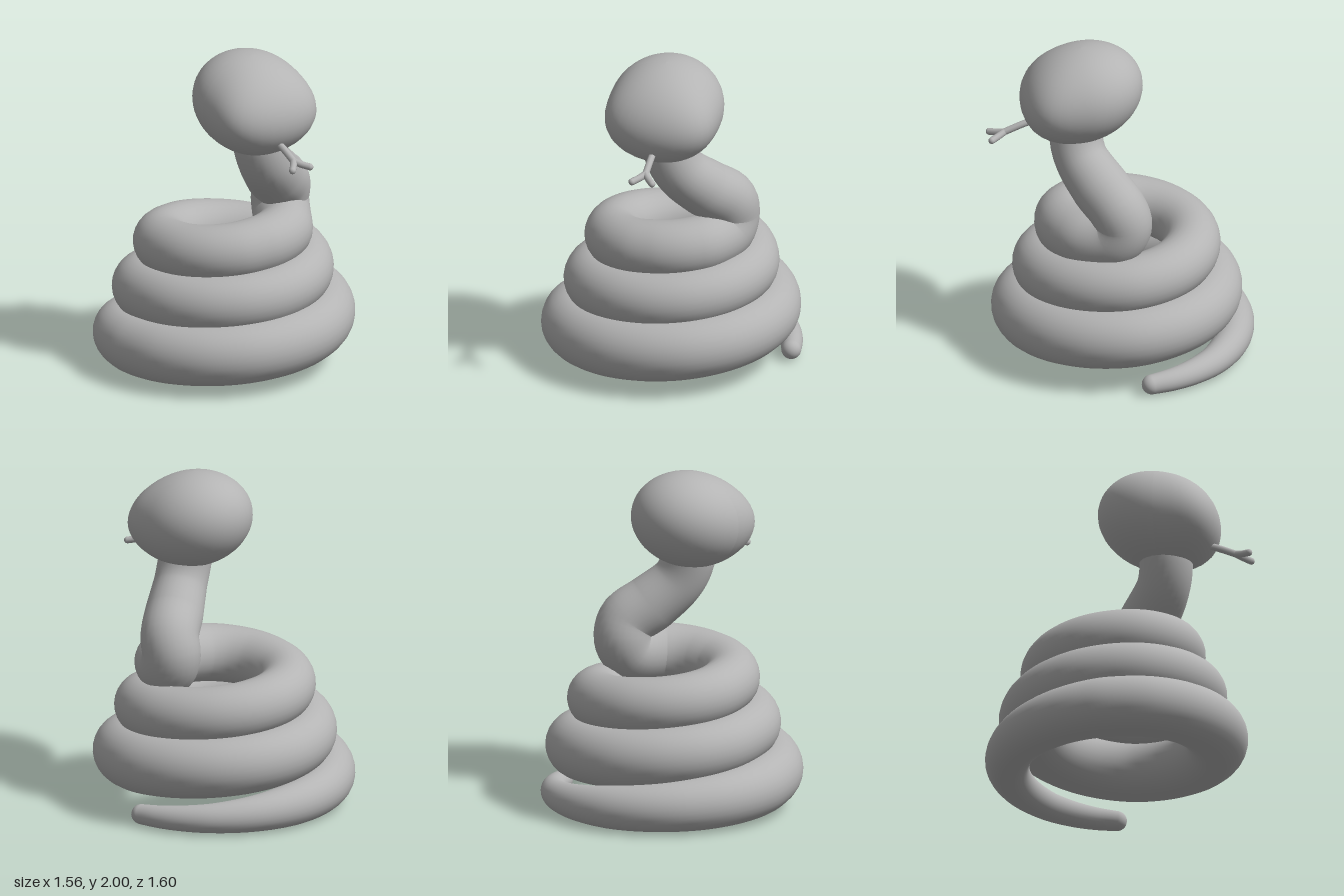
import * as THREE from 'three';

const grey = new THREE.MeshStandardMaterial({ color: 0xb4b4b4 });
grey.name = 'grey';

// Tube whose radius follows a list of radii, one for each point of the path
function taperedTube(points, radii, segments, sides) {
  const path = new THREE.CatmullRomCurve3(points);
  path.arcLengthDivisions = 1200;
  const geometry = new THREE.TubeGeometry(path, segments, 1, sides, false);
  const pos = geometry.attributes.position;
  const v = new THREE.Vector3();
  for (let i = 0; i <= segments; i++) {
    const centre = path.getPointAt(i / segments);
    const f = path.getUtoTmapping(i / segments) * (radii.length - 1);
    const k = Math.min(Math.floor(f), radii.length - 2);
    const r = THREE.MathUtils.lerp(radii[k], radii[k + 1], f - k);
    for (let j = 0; j <= sides; j++) {
      const n = i * (sides + 1) + j;
      v.fromBufferAttribute(pos, n).sub(centre).multiplyScalar(r).add(centre);
      pos.setXYZ(n, v.x, v.y, v.z);
    }
  }
  return geometry;
}

function add(parent, name, geometry, position) {
  const mesh = new THREE.Mesh(geometry, grey);
  mesh.name = name;
  if (position) mesh.position.copy(position);
  parent.add(mesh);
  return mesh;
}

export function createModel() {
  const model = new THREE.Group();
  model.name = 'coiledSnake';

  // Coils: angle in half turns, coil radius, height, body radius
  const coils = [
    [0.045, 0.712, 0.07, 0.06], [0.25, 0.70, 0.098, 0.088], [0.5, 0.67, 0.135, 0.13],
    [0.75, 0.635, 0.17, 0.16], [1, 0.61, 0.205, 0.18], [1.5, 0.58, 0.27, 0.19],
    [2, 0.588, 0.34, 0.185], [2.5, 0.542, 0.41, 0.18], [3, 0.478, 0.49, 0.175],
    [3.5, 0.47, 0.55, 0.175], [4, 0.468, 0.625, 0.175], [4.5, 0.422, 0.705, 0.17],
    [5, 0.36, 0.77, 0.17], [5.5, 0.34, 0.825, 0.175], [5.75, 0.35, 0.85, 0.175],
  ];
  const points = [], radii = [];
  const addCoilPoint = (t, R, y, r) => {
    points.push(new THREE.Vector3(R * Math.cos(t * Math.PI), y, -R * Math.sin(t * Math.PI)));
    radii.push(r);
  };
  for (let i = 0; i < coils.length - 1; i++) {
    for (let s = 0; s < 4; s++) {
      addCoilPoint(...coils[i].map((a, c) => THREE.MathUtils.lerp(a, coils[i + 1][c], s / 4)));
    }
  }
  addCoilPoint(...coils[coils.length - 1]);

  // Neck: x, y, z, radius
  const neck = [
    [0.345, 0.88, 0.08, 0.175], [0.365, 0.97, 0.03, 0.175], [0.355, 1.07, 0.06, 0.175],
    [0.24, 1.175, 0.155, 0.175], [0.115, 1.31, 0.25, 0.16],
    [0.06, 1.44, 0.275, 0.16], [0.04, 1.6, 0.26, 0.18],
  ];
  for (const [x, y, z, r] of neck) {
    points.push(new THREE.Vector3(x, y, z));
    radii.push(r);
  }
  add(model, 'body', taperedTube(points, radii, 420, 28));
  add(model, 'tailTip', new THREE.SphereGeometry(radii[0], 20, 14), points[0]);

  // Head: an egg, broader in the muzzle and sloping down to the front
  const head = new THREE.SphereGeometry(1, 40, 28);
  const p = head.attributes.position;
  for (let i = 0; i < p.count; i++) {
    const x = p.getX(i), y = p.getY(i), s = p.getZ(i);
    const broad = s > 0 ? 1 + 0.42 * s * s : 1;
    p.setXYZ(i, 0.345 * x * broad, 0.295 * y - 0.045 * s, 0.367 * s);
  }
  head.computeVertexNormals();
  add(model, 'head', head, new THREE.Vector3(0.025, 1.703, 0.238));

  // Forked tongue
  const tongue = new THREE.Group();
  tongue.name = 'tongue';
  tongue.position.x = 0.025;
  model.add(tongue);
  const strand = (name, list) => {
    const path = list.map((a) => new THREE.Vector3(...a));
    add(tongue, name, taperedTube(path, path.map(() => 0.021), 12, 10));
    add(tongue, name + 'End', new THREE.SphereGeometry(0.021, 10, 8), path[path.length - 1]);
  };
  strand('tongueStem', [[0, 1.54, 0.5], [0, 1.51, 0.59], [0, 1.465, 0.7]]);
  for (const side of [-1, 1]) {
    strand(side > 0 ? 'leftFork' : 'rightFork',
      [[0, 1.465, 0.7], [side * 0.028, 1.452, 0.74], [side * 0.062, 1.442, 0.783]]);
  }
  return model;
}
